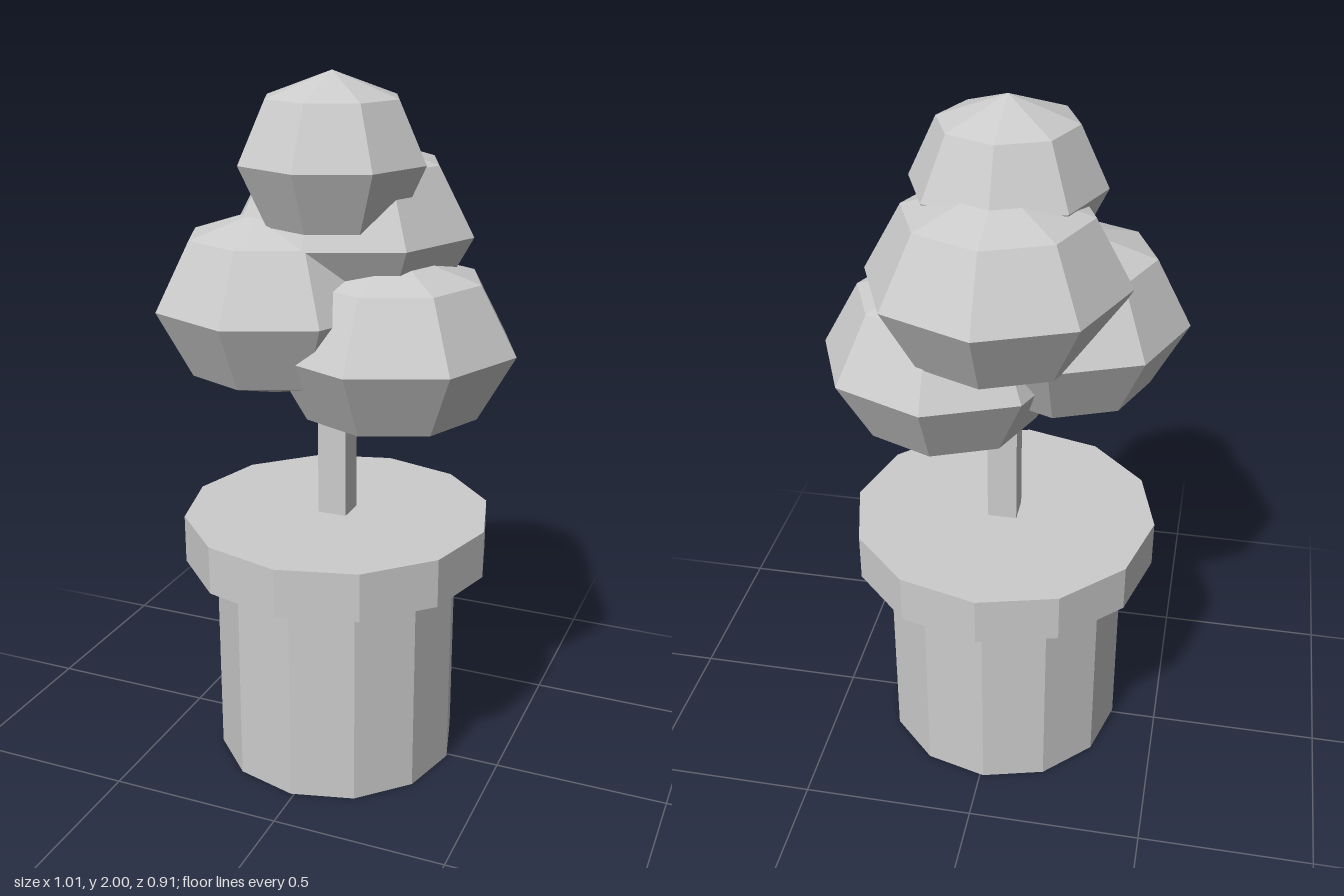
import * as THREE from 'three';

export function createModel() {
  const model = new THREE.Group();
  model.name = 'pottedTree';
  const grey = new THREE.MeshStandardMaterial({ color: 0xcccccc, flatShading: true });
  grey.name = 'light grey';

  const add = (name, geometry, x, y, z) => {
    const mesh = new THREE.Mesh(geometry, grey);
    mesh.name = name;
    mesh.position.set(x, y, z);
    model.add(mesh);
  };

  // Twelve-sided pot with a wider rim, and a square trunk
  const cx = -0.01, cz = 0.01;
  add('potBody', new THREE.CylinderGeometry(0.355, 0.355, 0.615, 12), cx, 0.3075, cz);
  add('potRim', new THREE.CylinderGeometry(0.445, 0.445, 0.14, 12), cx, 0.683, cz);
  add('trunk', new THREE.BoxGeometry(0.085, 0.75, 0.085), cx, 1.1, cz);

  // Squashed low-poly foliage: name, centre, radius, half height
  const foliage = [
    ['foliageFrontRight', -0.17, 1.377, 0.08, 0.338, 0.265],
    ['foliageLeft', 0.15, 1.27, 0.007, 0.355, 0.265],
    ['foliageBack', -0.01, 1.56, -0.1, 0.355, 0.265],
    ['foliageTop', -0.01, 1.767, 0.045, 0.265, 0.233],
  ];
  for (const [name, x, y, z, radius, half] of foliage) {
    const ball = new THREE.SphereGeometry(radius, 8, 4).scale(1, half / radius, 1);
    add(name, ball, x, y, z);
  }
  return model;
}
